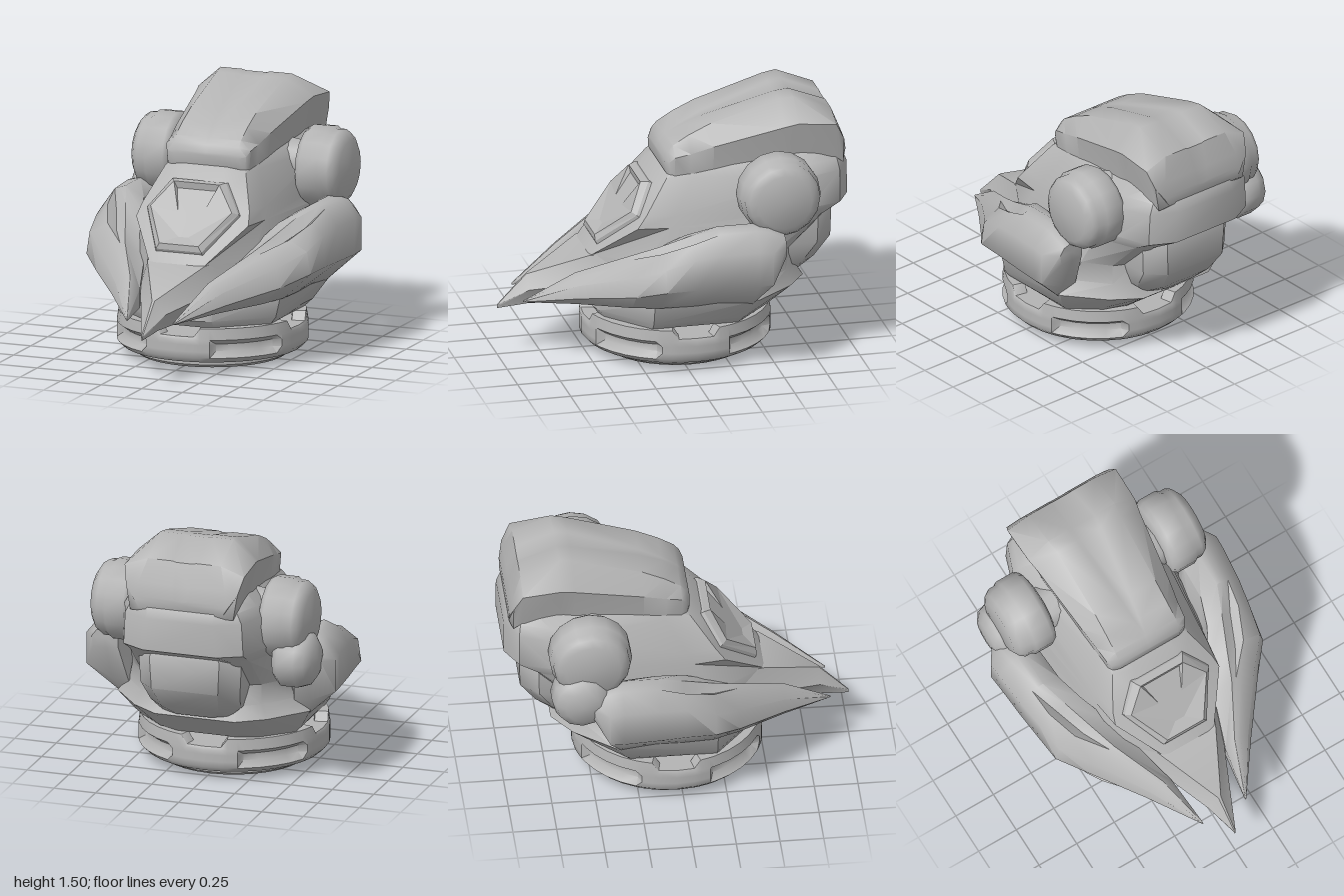
import * as THREE from 'three';
import { toCreasedNormals } from 'three/addons/utils/BufferGeometryUtils.js';

const shell = new THREE.MeshStandardMaterial({ color: 0xb4b4b4 });
shell.name = 'grey shell';

function addMesh(parent, name, geometry, crease = 0.9) {
  const mesh = new THREE.Mesh(toCreasedNormals(geometry, crease), shell);
  mesh.name = name;
  parent.add(mesh);
}

// Skin a list of equal-length rings of [x, y, z]; caps the ends unless looped.
function loft(rings, looped = false) {
  const n = rings[0].length, m = rings.length, tris = [];
  const tri = (a, b, c) => tris.push([a, b, c]);
  for (let i = 0; i < (looped ? m : m - 1); i++) {
    const r = rings[i], q = rings[(i + 1) % m];
    for (let j = 0; j < n; j++) {
      const k = (j + 1) % n;
      // Mirror the diagonal in the second half so both sides match.
      if (j < n / 2) {
        tri(r[j], r[k], q[k]);
        tri(r[j], q[k], q[j]);
      } else {
        tri(r[j], r[k], q[j]);
        tri(r[k], q[k], q[j]);
      }
    }
  }
  if (!looped) {
    [[rings[0], true], [rings[m - 1], false]].forEach(([r, flip]) => {
      const c = [0, 1, 2].map(d => r.reduce((s, p) => s + p[d], 0) / n);
      r.forEach((p, j) => {
        const q = r[(j + 1) % n];
        flip ? tri(c, q, p) : tri(c, p, q);
      });
    });
  }
  // Turn every face outward using the signed volume.
  const v = p => new THREE.Vector3(...p);
  const volume = tris.reduce((s, [a, b, c]) => s + v(a).dot(v(b).cross(v(c))), 0);
  const flat = tris.flatMap(([a, b, c]) => (volume < 0 ? [a, c, b] : [a, b, c])).flat();
  const g = new THREE.BufferGeometry();
  g.setAttribute('position', new THREE.Float32BufferAttribute(flat, 3));
  g.computeVertexNormals();
  return g;
}

// Complete a half section (x > 0) with its mirror image.
const mirrored = half => [...half, ...half.slice().reverse().map(([x, y, z]) => [-x, y, z])];

// The face bends back towards its sides.
const faceBend = x => Math.max(0, x - 0.14) * 0.33;

// Round part turned about the x axis; profile is [radius, distance from centre].
function pod(profile, side, y, z, segments) {
  const g = new THREE.LatheGeometry(profile.map(p => new THREE.Vector2(...p)), segments);
  return g.rotateZ(-side * Math.PI / 2).translate(0, y, z);
}

function addBase(group) {
  const cz = -0.04;
  const disc = [[0, 0], [0.42, 0], [0.45, 0.02], [0.45, 0.06], [0, 0.06]];
  addMesh(group, 'baseDisc',
    new THREE.LatheGeometry(disc.map(p => new THREE.Vector2(...p)), 32).translate(0, 0, cz));
  addMesh(group, 'collarFloor', new THREE.CylinderGeometry(0.48, 0.48, 0.14, 32).translate(0, 0.13, cz));

  // Collar with four notches and four long recesses: [angle, top, recess depth]
  const steps = [[-11, 0.2, 0], [0, 0.2, 0], [11, 0.2, 0], [15, 0.25, 0], [21, 0.25, 0], [25, 0.25, 0.04],
    [35, 0.25, 0.04], [45, 0.25, 0.04], [55, 0.25, 0.04], [65, 0.25, 0.04], [69, 0.25, 0], [75, 0.25, 0]];
  const rings = [];
  for (let quarter = 0; quarter < 4; quarter++) {
    for (const [deg, top, depth] of steps) {
      const a = THREE.MathUtils.degToRad(deg + quarter * 90);
      const section = [[0.43, 0.05], [0.515, 0.05], [0.545, 0.08], [0.545 - depth, 0.115],
        [0.545 - depth, 0.155], [0.545, 0.185], [0.535, top], [0.46, top]];
      rings.push(section.map(([r, y]) => [r * Math.sin(a), y, cz + r * Math.cos(a)]));
    }
  }
  addMesh(group, 'collar', loft(rings, true));
}

function addHead(group) {
  // Each row: y, then z and half width of front, front side, back side, back corner, back
  const rows = [
    [0.25, 0.44, 0.2, 0.2, 0.46, -0.3, 0.46, -0.45, 0.3, -0.5, 0.18],
    [0.29, 0.47, 0.2, 0.2, 0.49, -0.32, 0.5, -0.49, 0.33, -0.55, 0.2],
    [0.42, 0.46, 0.2, 0.2, 0.52, -0.4, 0.58, -0.62, 0.4, -0.73, 0.24],
    [0.5, 0.48, 0.18, 0.22, 0.45, -0.42, 0.5, -0.6, 0.36, -0.68, 0.24],
    [0.62, 0.5, 0.17, 0.22, 0.36, -0.45, 0.47, -0.6, 0.36, -0.66, 0.24],
    [0.82, 0.327, 0.345, 0.08, 0.37, -0.56, 0.45, -0.8, 0.36, -0.86, 0.28],
    [0.89, 0.268, 0.33, 0.04, 0.36, -0.72, 0.43, -0.92, 0.36, -0.995, 0.22],
    [1.08, 0.104, 0.25, -0.08, 0.27, -0.76, 0.41, -0.92, 0.35, -0.995, 0.2],
    [1.14, 0.02, 0.19, -0.12, 0.24, -0.74, 0.38, -0.91, 0.32, -0.97, 0.2],
    [1.2, -0.08, 0.16, -0.15, 0.2, -0.7, 0.3, -0.84, 0.28, -0.89, 0.17],
  ];
  addMesh(group, 'head', loft(rows.map(([y, ...r]) => mirrored([
    [0.13, y, r[0]],
    [r[1], y, r[0] - faceBend(r[1])],
    ...[2, 4, 6, 8].map(i => [r[i + 1], y, r[i]]),
  ]))), 0.65);

  // Hexagonal face plate with a sunken tapered centre, on the sloping face
  const onFace = (pts, lift) => mirrored(pts.map(([x, y]) =>
    [x, y + lift * 0.66, 0.5 - (y - 0.62) * 0.86 - faceBend(x) + lift * 0.75]));
  addMesh(group, 'facePlate', loft([
    onFace([[0.18, 1.04], [0.3, 0.87], [0.15, 0.665]], -0.03),
    onFace([[0.165, 1.025], [0.28, 0.87], [0.14, 0.68]], 0.015),
    onFace([[0.14, 1.005], [0.25, 0.87], [0.12, 0.7]], 0.036),
    onFace([[0.12, 0.985], [0.075, 0.87], [0.03, 0.75]], 0.006),
  ]), 0.06);

  // Pointed beak: z, top y, top width, middle y, middle width, bottom y, bottom width
  const beak = [
    [1.0, 0.3, 0.003, 0.29, 0.004, 0.28, 0.003],
    [0.83, 0.475, 0.008, 0.4, 0.075, 0.305, 0.03],
    [0.5, 0.62, 0.175, 0.47, 0.22, 0.33, 0.13],
    [0.3, 0.64, 0.25, 0.5, 0.3, 0.33, 0.2],
  ];
  addMesh(group, 'beak', loft(beak.map(([z, ty, tw, my, mw, by, bw]) =>
    mirrored([[tw, ty, z], [mw, my, z], [bw, by, z]]))), 0.5);

  // Rear box: y, front z, back z, half width
  const box = [[0.44, -0.7, -0.75, 0.2], [0.5, -0.56, -0.81, 0.27], [0.63, -0.54, -0.9, 0.3],
    [0.82, -0.56, -0.905, 0.31], [0.88, -0.6, -0.88, 0.29]];
  addMesh(group, 'rearBox', loft(box.map(([y, f, b, w]) =>
    mirrored([[w, y, f], [w, y, Math.min(f, b + 0.1)], [w - 0.1, y, b]]))), 0.7);
}

function addHelmet(group) {
  // z, top y, groove width, top width, shoulder y and width, bottom y and width
  const rows = [
    [0.07, 1.18, 0, 0.18, 1.16, 0.2, 1.11, 0.19],
    [0.05, 1.22, 0, 0.2, 1.17, 0.245, 1.08, 0.235],
    [0.02, 1.255, 0, 0.2, 1.2, 0.26, 1.07, 0.25],
    [-0.07, 1.31, 0.012, 0.2, 1.22, 0.27, 1.06, 0.255],
    [-0.2, 1.37, 0.025, 0.2, 1.26, 0.29, 1.1, 0.27],
    [-0.6, 1.49, 0.06, 0.21, 1.36, 0.34, 1.13, 0.3],
    [-0.68, 1.5, 0.065, 0.22, 1.38, 0.355, 1.14, 0.3],
    [-0.9, 1.41, 0.05, 0.22, 1.36, 0.36, 1.15, 0.32],
    [-0.95, 1.28, 0.04, 0.26, 1.26, 0.335, 1.11, 0.31],
    [-0.97, 1.2, 0.03, 0.24, 1.18, 0.28, 1.13, 0.25],
  ];
  addMesh(group, 'helmet', loft(rows.map(([z, ty, gw, tw, sy, sw, by, bw]) => {
    const dip = Math.min(0.006, gw * 0.3);
    return mirrored([[gw + 0.001, ty - dip, z], [gw + 0.02, ty, z], [tw, ty, z], [sw, sy, z], [bw, by, z]]);
  })), 0.8);
}

function addCheekGuard(group, side) {
  // Sections from tip to rear: z, groove depth, then points from the inner bottom
  // round the outside to the two groove lips and the inner top
  const sections = [
    [0.88, 0, [0.139, 0.358], [0.143, 0.358], [0.146, 0.36], [0.147, 0.364], [0.146, 0.368], [0.143, 0.368], [0.139, 0.366]],
    [0.6, 0, [0.18, 0.37], [0.3, 0.38], [0.35, 0.43], [0.33, 0.5], [0.28, 0.535], [0.24, 0.55], [0.18, 0.48]],
    [0.32, 0, [0.28, 0.38], [0.46, 0.39], [0.565, 0.49], [0.54, 0.6], [0.45, 0.655], [0.39, 0.68], [0.27, 0.59]],
    [0.17, 0.035, [0.33, 0.39], [0.53, 0.4], [0.69, 0.55], [0.67, 0.68], [0.56, 0.74], [0.45, 0.74], [0.33, 0.68]],
    [0, 0.05, [0.39, 0.4], [0.54, 0.4], [0.71, 0.56], [0.7, 0.74], [0.63, 0.81], [0.52, 0.82], [0.42, 0.79]],
    [-0.15, 0, [0.42, 0.4], [0.54, 0.4], [0.725, 0.56], [0.725, 0.76], [0.65, 0.865], [0.58, 0.89], [0.47, 0.83]],
    [-0.36, 0, [0.46, 0.38], [0.56, 0.39], [0.74, 0.56], [0.745, 0.77], [0.66, 0.87], [0.58, 0.89], [0.48, 0.82]],
    [-0.44, 0, [0.5, 0.5], [0.6, 0.5], [0.75, 0.57], [0.75, 0.76], [0.67, 0.86], [0.59, 0.88], [0.49, 0.82]],
    [-0.53, 0, [0.53, 0.72], [0.6, 0.71], [0.68, 0.71], [0.69, 0.77], [0.66, 0.81], [0.6, 0.83], [0.53, 0.8]],
  ];
  const rings = sections.map(([z, depth, ...pts]) => {
    const floor = [(pts[4][0] + pts[5][0]) / 2, (pts[4][1] + pts[5][1]) / 2 - depth];
    return [...pts.slice(0, 5), floor, ...pts.slice(5)].map(([x, y]) => [side * x, y, z]);
  });
  addMesh(group, side > 0 ? 'leftCheekGuard' : 'rightCheekGuard', loft(rings));
}

export function createModel() {
  const group = new THREE.Group();
  group.name = 'beakedHelmetHead';
  addBase(group);
  addHead(group);
  addHelmet(group);
  const ear = [[0, 0.37], [0.17, 0.375], [0.215, 0.39], [0.235, 0.42], [0.235, 0.53], [0.22, 0.55],
    [0.22, 0.585], [0.2, 0.615], [0.16, 0.64], [0, 0.642]];
  for (const side of [1, -1]) {
    const label = side > 0 ? 'left' : 'right';
    addCheekGuard(group, side);
    addMesh(group, label + 'EarPod', pod(ear, side, 1.02, -0.53, 16), 0.75);
    addMesh(group, label + 'EarAxle', pod([[0, 0.2], [0.16, 0.2], [0.13, 0.4], [0, 0.4]], side, 1.03, -0.5, 8));
  }
  // Small extra pod below the right ear
  const small = [[0, 0.46], [0.13, 0.46], [0.17, 0.5], [0.17, 0.6], [0.15, 0.655], [0.1, 0.69], [0, 0.7]];
  addMesh(group, 'rightLowerPod', pod(small, -1, 0.8, -0.59, 12));
  return group;
}
